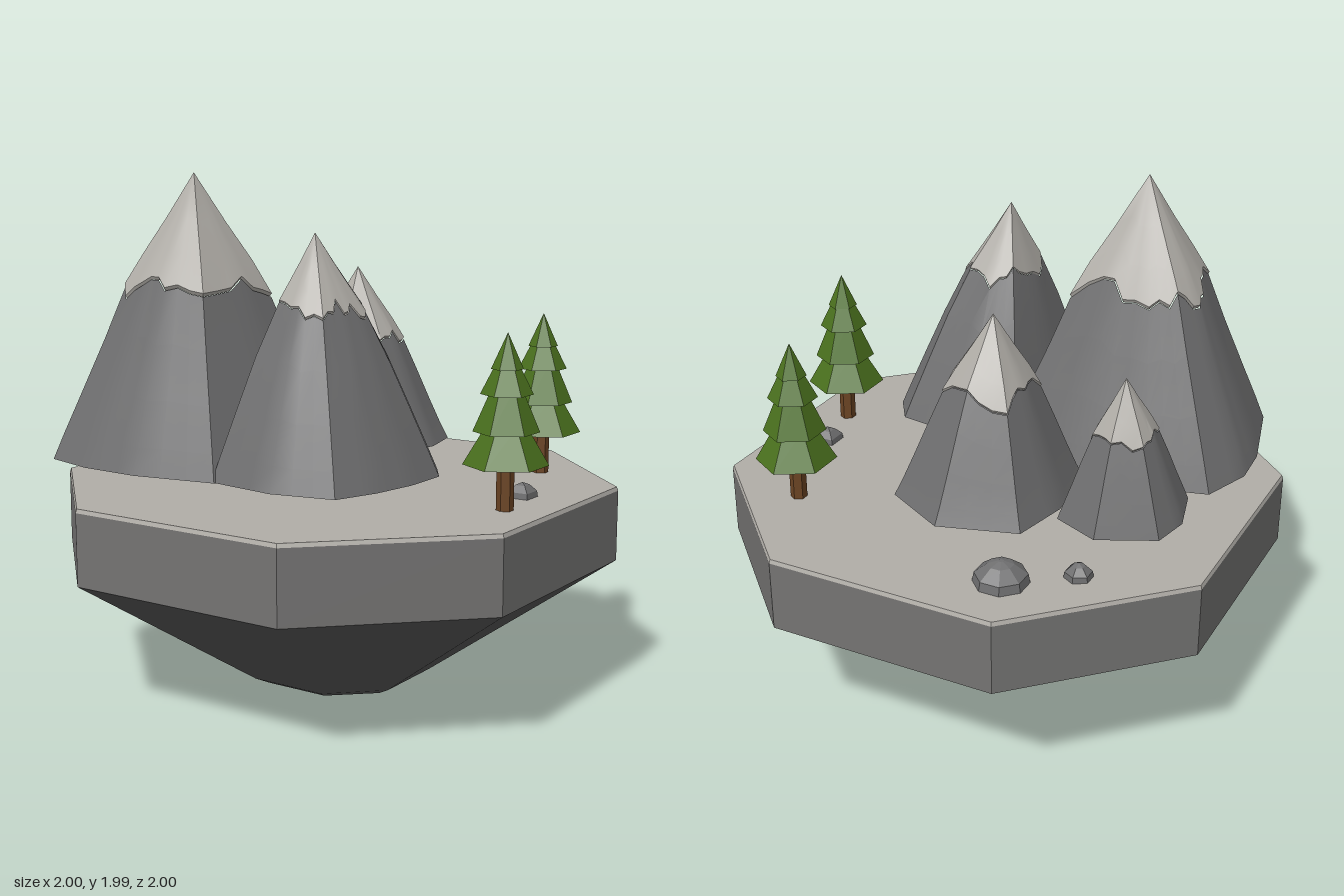
import * as THREE from 'three';
import { toCreasedNormals } from 'three/addons/utils/BufferGeometryUtils.js';

const material = (name, color) => {
  const m = new THREE.MeshStandardMaterial({ color });
  m.name = name;
  return m;
};

// Small seeded noise in the range -1..1
function makeNoise(seed) {
  let s = seed;
  return () => {
    s = (s * 16807) % 2147483647;
    return (s / 2147483647) * 2 - 1;
  };
}

// Skin a stack of equal-length rings (bottom to top, counterclockwise from above)
function loft(rings, capBottom, capTop, crease = 0) {
  const pos = [];
  const tri = (a, b, c) => pos.push(...a, ...b, ...c);
  const n = rings[0].length;
  for (let r = 0; r < rings.length - 1; r++) {
    const lo = rings[r], hi = rings[r + 1];
    for (let i = 0; i < n; i++) {
      const j = (i + 1) % n;
      tri(lo[i], lo[j], hi[j]);
      tri(lo[i], hi[j], hi[i]);
    }
  }
  const cap = (ring, up) => {
    const c = [0, 1, 2].map((k) => ring.reduce((sum, p) => sum + p[k], 0) / n);
    for (let i = 0; i < n; i++) {
      const a = ring[i], b = ring[(i + 1) % n];
      if (up) tri(c, a, b); else tri(c, b, a);
    }
  };
  if (capBottom) cap(rings[0], false);
  if (capTop) cap(rings[rings.length - 1], true);
  const g = new THREE.BufferGeometry();
  g.setAttribute('position', new THREE.Float32BufferAttribute(pos, 3));
  g.computeVertexNormals();
  return crease ? toCreasedNormals(g, crease) : g;
}

// Slightly bulging slope: depth below the peak (0..1) to spread (0..1)
const SLOPE = [[0, 0], [0.17, 0.21], [0.36, 0.45], [0.72, 0.76], [1, 1]];
function spread(f) {
  for (let i = 1; i < SLOPE.length; i++) {
    const [f0, s0] = SLOPE[i - 1], [f1, s1] = SLOPE[i];
    if (f <= f1) return s0 + ((s1 - s0) * (f - f0)) / (f1 - f0);
  }
  return 1;
}

// Footprints are [x, z] corners, counterclockwise from above
const MOUNTAINS = [
  { name: 'tallMountain', peak: [-0.43, 1.99, 0.33], snowY: 1.56, foot: [[0.04, 0.3], [0.03, 0], [-0.3, -0.07],
    [-0.62, -0.06], [-0.85, 0], [-0.92, 0.2], [-0.91, 0.38], [-0.82, 0.73], [-0.6, 0.79], [-0.35, 0.8], [-0.02, 0.74]] },
  { name: 'frontMountain', peak: [0.17, 1.78, 0.38], snowY: 1.5, foot: [[0.58, 0.37], [0.58, 0.18], [0.5, 0.06],
    [0.2, 0.01], [-0.02, 0.05], [-0.06, 0.4], [-0.04, 0.73], [0.25, 0.77], [0.49, 0.72], [0.55, 0.55]] },
  { name: 'backMountain', peak: [-0.11, 1.61, -0.32], snowY: 1.33, foot: [[0.25, -0.33], [0.2, -0.53], [-0.05, -0.67],
    [-0.35, -0.58], [-0.4, -0.35], [-0.37, -0.08], [-0.03, 0.03], [0.22, -0.16]] },
  { name: 'smallMountain', peak: [-0.61, 1.44, -0.27], snowY: 1.22, foot: [[-0.4, -0.3], [-0.42, -0.42], [-0.6, -0.5],
    [-0.81, -0.4], [-0.84, -0.25], [-0.79, -0.06], [-0.6, -0.03], [-0.42, -0.08]] },
];

function makeMountain({ name, peak, snowY, foot }, rock, snow, seed) {
  const noise = makeNoise(seed);
  const baseY = 0.9, height = peak[1] - baseY;
  // Split each footprint edge in three for a ragged snow line
  const outline = foot.flatMap(([x, z], i) => {
    const [nx, nz] = foot[(i + 1) % foot.length];
    return [0, 1 / 3, 2 / 3].map((t) => [x + (nx - x) * t, z + (nz - z) * t]);
  });
  const line = outline.map((p, i) => (peak[1] - snowY) / height + (noise() * 0.5 + Math.sin(i * 0.9) * 0.5) * 0.06);
  const point = (i, f, scale = 1) => {
    const s = spread(f) * scale;
    return [peak[0] + (outline[i][0] - peak[0]) * s, peak[1] - height * f, peak[2] + (outline[i][1] - peak[2]) * s];
  };
  const ring = (depth, scale) => outline.map((p, i) => point(i, depth(line[i]), scale));

  const body = [1, 0.85, 0.6, 0.3, 0].map((t) =>
    ring((l) => l + (1 - l) * t, t > 0 && t < 1 ? 1 + noise() * 0.012 : 1));
  const cap = [[1, 0.97], [0.97, 1.03], [0.7, 1.02], [0.4, 1], [0, 1]].map(([t, s]) => ring((l) => l * t, s));

  const group = new THREE.Group();
  group.name = name;
  const slopes = new THREE.Mesh(loft(body, true, false, 0.5), rock);
  slopes.name = 'rockSlopes';
  const top = new THREE.Mesh(loft(cap, false, false, 0.5), snow);
  top.name = 'snowCap';
  group.add(slopes, top);
  return group;
}

function makeTree(x, z, leaf, bark) {
  const group = new THREE.Group();
  group.name = 'pineTree';
  group.position.set(x, 0, z);
  const trunk = new THREE.Mesh(new THREE.CylinderGeometry(0.032, 0.032, 0.22, 6).toNonIndexed(), bark);
  trunk.geometry.computeVertexNormals();
  trunk.position.y = 0.89;
  trunk.name = 'trunk';
  group.add(trunk);
  // Each tier: bottom y, top y, bottom radius, top radius
  const tiers = [[0.965, 1.11, 0.155, 0.07], [1.085, 1.25, 0.12, 0.05], [1.22, 1.34, 0.095, 0.035], [1.31, 1.44, 0.058, 0]];
  for (const [y0, y1, r0, r1] of tiers) {
    const g = new THREE.CylinderGeometry(r1, r0, y1 - y0, 6).toNonIndexed();
    g.computeVertexNormals();
    const tier = new THREE.Mesh(g, leaf);
    tier.position.y = (y0 + y1) / 2;
    tier.name = 'branches';
    group.add(tier);
  }
  return group;
}

function makeBoulder(x, z, r, h, sides, stone) {
  const ring = (y, s) => Array.from({ length: sides }, (_, i) => {
    const a = ((i + 0.5) / sides) * Math.PI * 2;
    return [x + Math.cos(a) * r * s, y, z - Math.sin(a) * r * s];
  });
  const mesh = new THREE.Mesh(loft([ring(0.79, 1), ring(0.8 + h * 0.4, 0.92), ring(0.8 + h * 0.85, 0.45), ring(0.8 + h, 0.1)], false, true), stone);
  mesh.name = 'boulder';
  return mesh;
}

export function createModel() {
  const pale = material('pale stone and snow', 0xb0ada7);
  const rock = material('mountain rock', 0x6f6f70);
  const cliff = material('cliff stone', 0x747372);
  const under = material('dark underside', 0x565656);
  const leaf = material('pine green', 0x4a701e);
  const bark = material('bark brown', 0x6b4423);

  const model = new THREE.Group();
  model.name = 'floatingIsland';

  // Island: eight-sided slab tapering to a small foot
  const corners = [[1, 0.46], [1, -0.46], [0.45, -1], [-0.45, -1], [-1, -0.46], [-1, 0.46], [-0.45, 1], [0.45, 1]];
  const octagon = (y, sx = 1, sz = sx) => corners.map(([x, z]) => [x * sx, y, z * sz]);
  const parts = [
    ['underside', [octagon(0, 0.29, 0.27), octagon(0.03, 0.345, 0.33), octagon(0.51)], true, false, under],
    ['cliffBand', [octagon(0.51), octagon(0.785)], false, false, cliff],
    ['islandTop', [octagon(0.785), octagon(0.8, 0.995)], false, true, pale],
  ];
  for (const [name, rings, bottom, top, mat] of parts) {
    const mesh = new THREE.Mesh(loft(rings, bottom, top), mat);
    mesh.name = name;
    model.add(mesh);
  }

  MOUNTAINS.forEach((m, i) => model.add(makeMountain(m, rock, pale, 1234 + i * 777)));

  for (const [x, z] of [[0.62, -0.55], [0.83, 0.14]]) model.add(makeTree(x, z, leaf, bark));

  // Boulders: x, z, radius, height, sides
  for (const b of [[-0.36, -0.75, 0.105, 0.085, 8], [-0.59, -0.6, 0.055, 0.055, 6], [0.78, -0.09, 0.062, 0.055, 4]]) {
    model.add(makeBoulder(...b, rock));
  }
  return model;
}
